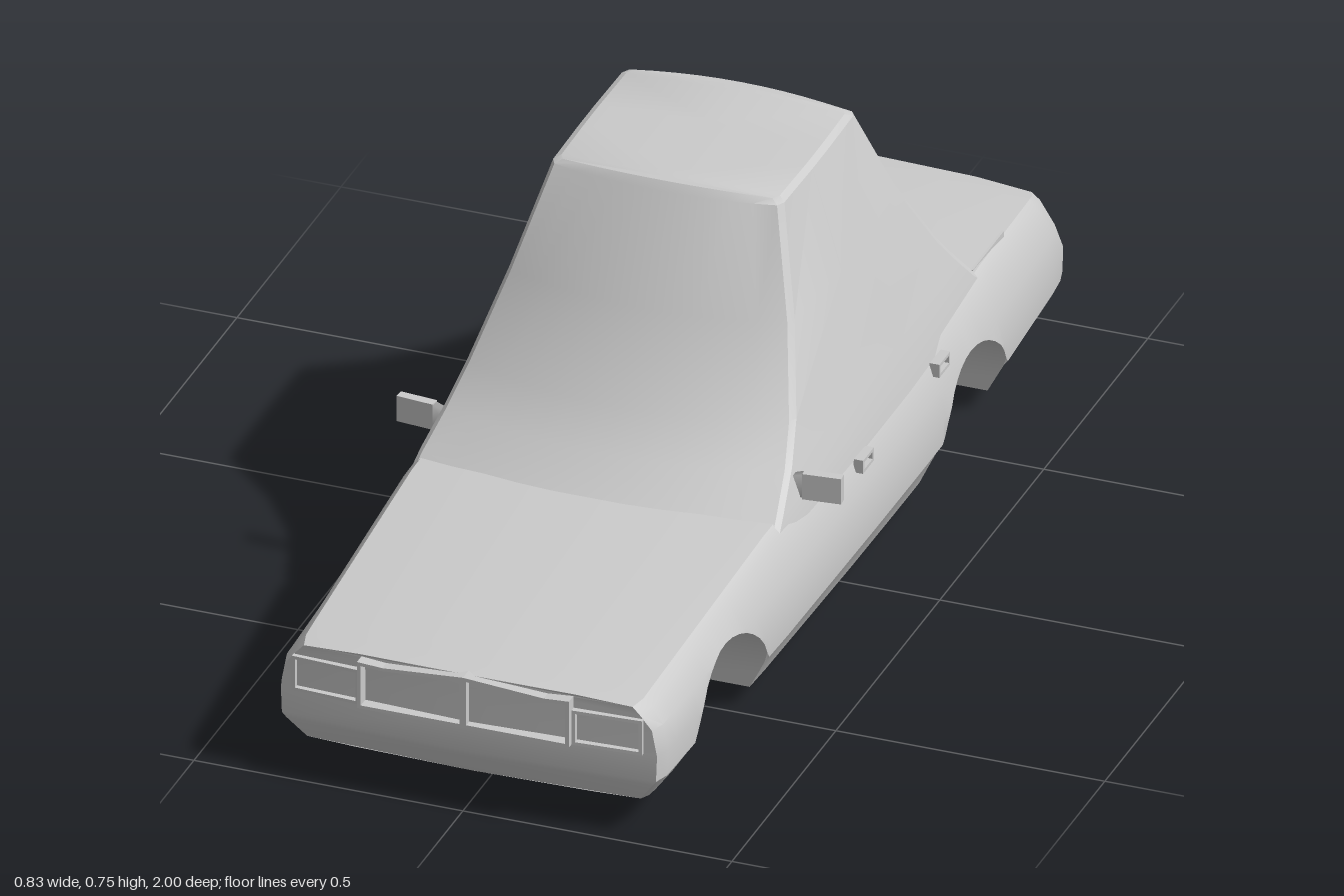
import * as THREE from 'three';
import { toCreasedNormals } from 'three/addons/utils/BufferGeometryUtils.js';

const mat = new THREE.MeshStandardMaterial({ color: 0xcccccc });
const V = (x, y, z) => new THREE.Vector3(x, y, z);

function add(parent, name, geo, x = 0, y = 0, z = 0) {
  const m = new THREE.Mesh(geo, mat);
  m.name = name;
  m.position.set(x, y, z);
  parent.add(m);
  return m;
}

// piecewise linear lookup in [[key, value], ...] with falling keys
function lookup(table, k) {
  for (let i = 0; i < table.length - 1; i++) {
    const [k0, v0] = table[i], [k1, v1] = table[i + 1];
    if (k >= k1) return v0 + (v1 - v0) * Math.min(1, Math.max(0, (k0 - k) / (k0 - k1)));
  }
  return table[table.length - 1][1];
}

// mirror a half section (centre line to centre line) into a closed ring
const mirrorRing = half => half.concat(half.slice(1, -1).reverse().map(p => V(-p.x, p.y, p.z)));

// skin closed symmetric rings; the caps get a centre line from capMid
function loft(rings, capMid, crease) {
  const pos = [], n = rings[0].length;
  const tri = (...ps) => ps.forEach(p => pos.push(p.x, p.y, p.z));
  const quad = (a, b, c, d) => { tri(a, b, c); tri(a, c, d); };
  for (let i = 0; i < rings.length - 1; i++) {
    for (let j = 0; j < n; j++) {
      const k = (j + 1) % n;
      quad(rings[i][j], rings[i][k], rings[i + 1][k], rings[i + 1][j]);
    }
  }
  [rings[0], rings[rings.length - 1]].forEach((r, end) => {
    for (let j = 0; j < n / 2; j++) {
      const a = r[j], b = r[j + 1], la = r[(n - j) % n], lb = r[n - j - 1];
      const ca = capMid(a, end), cb = capMid(b, end);
      if (end) { quad(ca, a, b, cb); quad(ca, cb, lb, la); }
      else { quad(ca, cb, b, a); quad(ca, la, lb, cb); }
    }
  });
  const g = new THREE.BufferGeometry();
  g.setAttribute('position', new THREE.Float32BufferAttribute(pos, 3));
  return toCreasedNormals(g, crease);
}

const TOP = [[0.985, 0.262], [0.4, 0.308], [-0.63, 0.312], [-0.9, 0.298], [-1, 0.288]];
const BOTTOM = [[0.985, 0.062], [0.8, 0.055], [0.45, 0.042], [0, 0.037], [-0.33, 0.035], [-0.7, 0.045], [-1, 0.065]];
const WIDTH = [[0.985, 0.92], [0.95, 0.945], [0.4, 0.985], [-0.1, 1], [-0.6, 1], [-0.95, 0.95], [-1, 0.92]];
const ARCHES = [[0.65, 0.175], [-0.49, 0.168]];
const bow = x => 0.015 * (x / 0.35) ** 2;

function bodySection(z) {
  const top = lookup(TOP, z), bot = lookup(BOTTOM, z), w = lookup(WIDTH, z);
  let arch = bot;
  for (const [c, r] of ARCHES) {
    const d = r * r - (z - c) ** 2;
    if (d > 0) arch = Math.max(arch, 0.05 + Math.sqrt(d));
  }
  // flank as height -> half width, trimmed at the wheel arch
  const flank = [[top - 0.02, 0.347], [0.215, 0.37], [0.165, 0.38], [0.115, 0.378], [0.105, 0.37], [bot, 0.337]];
  const pts = [[0, top + 0.004], [0.2, top + 0.002], [0.332 * w, top - 0.005]];
  for (const [y] of flank) {
    const yy = Math.max(y, arch);
    pts.push([lookup(flank, yy) * w, yy]);
  }
  pts.push([0.22, arch], [0.22, bot], [0, bot]);
  // the ends are bowed in plan and raked in side view
  const e = Math.max(0, (Math.abs(z) - 0.9) / 0.09);
  return mirrorRing(pts.map(([x, y]) => {
    const rake = z > 0 ? -0.03 * Math.max(0, (0.11 - y) / 0.05)
      : 0.04 * Math.max(0, (y - 0.16) / 0.13);
    return V(x, y, z + e * (rake - Math.sign(z) * bow(x)));
  }));
}

function bodyGeometry() {
  const zs = [0.985, 0.95, 0.9, 0.4, 0.2, 0, -0.2, -0.75, -0.9, -0.96, -1];
  for (const [c, r] of ARCHES) {
    for (let i = 0; i <= 20; i++) zs.push(c + r * Math.cos(Math.PI * i / 20));
  }
  zs.sort((a, b) => b - a);
  return loft(zs.map(bodySection), (p, end) => V(0, p.y, p.z + (end ? -1 : 1) * bow(p.x)), 0.5);
}

function cabinGeometry() {
  // height, half width, front centre, front corner, rear corner, rear centre
  const levels = [
    [0.27, 0.345, 0.46, 0.40, -0.65, -0.70],
    [0.31, 0.337, 0.40, 0.345, -0.60, -0.65],
    [0.36, 0.322, 0.325, 0.265, -0.555, -0.595],
    [0.42, 0.305, 0.26, 0.20, -0.505, -0.54],
    [0.56, 0.265, 0.15, 0.105, -0.415, -0.445],
    [0.74, 0.215, 0.05, 0.025, -0.335, -0.35],
    [0.755, 0.203, 0.038, 0.016, -0.325, -0.338],
  ];
  const rings = levels.map(([y, w, fc, fk, rk, rc], i) => {
    const half = [], N = 5, dome = i === levels.length - 1 ? 0.008 : 0;
    const put = (x, z) => half.push(V(x, y - dome * (x / 0.2) ** 2, z));
    const ws = w - 0.008;
    for (let j = 0; j <= N; j++) put(ws * j / N, fc + (fk - fc) * (j / N) ** 2);
    const bulge = i < 5 ? 0.012 : 0.002;
    put(w, fk - 0.015);
    put(w + bulge, fk + (rk - fk) * 0.4);
    put(w + bulge, fk + (rk - fk) * 0.6);
    put(w, rk + 0.015);
    for (let j = N; j >= 0; j--) put(ws * j / N, rc + (rk - rc) * (j / N) ** 2);
    return mirrorRing(half);
  });
  return loft(rings, (p, end) => V(0, p.y + (end ? 0.008 * (p.x / 0.2) ** 2 : 0), p.z), 0.45);
}

// extruded outline with an inset opening
function frame(outer, inner, depth) {
  const s = new THREE.Shape(outer.map(p => new THREE.Vector2(...p)));
  s.holes.push(new THREE.Path(inner.map(p => new THREE.Vector2(...p))));
  return new THREE.ExtrudeGeometry(s, { depth, bevelEnabled: false });
}
const rect = (x0, y0, x1, y1) => [[x0, y0], [x1, y0], [x1, y1], [x0, y1]];

export function createModel() {
  const car = new THREE.Group();
  car.name = 'car';
  add(car, 'body', bodyGeometry());
  add(car, 'cabin', cabinGeometry());

  // grille with raised top edge and centre bar
  const grille = new THREE.Group();
  grille.name = 'grille';
  car.add(grille);
  add(grille, 'grilleFrame', frame(
    [[-0.197, 0.168], [0.197, 0.168], [0.197, 0.259], [0.15, 0.256], [0, 0.267], [-0.15, 0.256], [-0.197, 0.259]],
    [[-0.19, 0.174], [0.19, 0.174], [0.19, 0.252], [0.15, 0.25], [0, 0.26], [-0.15, 0.25], [-0.19, 0.252]], 0.055), 0, 0, 0.945);
  add(grille, 'grilleBar', new THREE.BoxGeometry(0.012, 0.09, 0.03), 0, 0.215, 0.985);

  // axles
  for (const z of [0.65, -0.49]) {
    const axle = add(car, 'axle', new THREE.CylinderGeometry(0.028, 0.028, 0.55, 20), 0, 0.031, z);
    axle.rotation.z = Math.PI / 2;
  }

  for (const s of [1, -1]) {
    const lamp = add(car, 'headlightFrame',
      frame(rect(-0.064, 0.168, 0.064, 0.236), rect(-0.058, 0.174, 0.058, 0.23), 0.03), s * 0.26, 0, 0.955);
    lamp.rotation.y = s * 0.06;

    // door mirror on a tapered foot
    const mirror = new THREE.Group();
    mirror.name = 'doorMirror';
    mirror.position.set(s * 0.33, 0.33, 0.25);
    mirror.rotation.y = s * 0.1;
    car.add(mirror);
    add(mirror, 'mirrorHousing', new THREE.BoxGeometry(0.07, 0.05, 0.018), s * 0.048);
    const foot = add(mirror, 'mirrorFoot', new THREE.CylinderGeometry(0.033, 0.022, 0.03, 4, 1), s * 0.0);
    foot.geometry.rotateY(Math.PI / 4);
    foot.rotation.z = -s * Math.PI / 2;
    foot.scale.z = 0.35;

    // door handles
    for (const z of [0.012, -0.355]) {
      const handle = add(car, 'doorHandle',
        frame(rect(-0.026, -0.013, 0.026, 0.013), rect(-0.02, -0.007, 0.02, 0.007), 0.018), s * 0.354, 0.26, z);
      handle.rotation.y = s * Math.PI / 2;
    }
    // thin strips beside the boot lid
    add(car, 'bootStrip', new THREE.BoxGeometry(0.005, 0.012, 0.15), s * 0.325, 0.303, -0.68);
  }

  // rear trim and exhaust
  const trim = add(car, 'rearTrim', new THREE.BoxGeometry(0.56, 0.006, 0.012), 0, 0.235, -0.973);
  trim.rotation.x = 0.3;
  const exhaust = add(car, 'exhaust', new THREE.CylinderGeometry(0.012, 0.012, 0.13, 14), 0.18, 0.049, -0.92);
  exhaust.rotation.x = -Math.PI / 2 - 0.16;
  return car;
}
